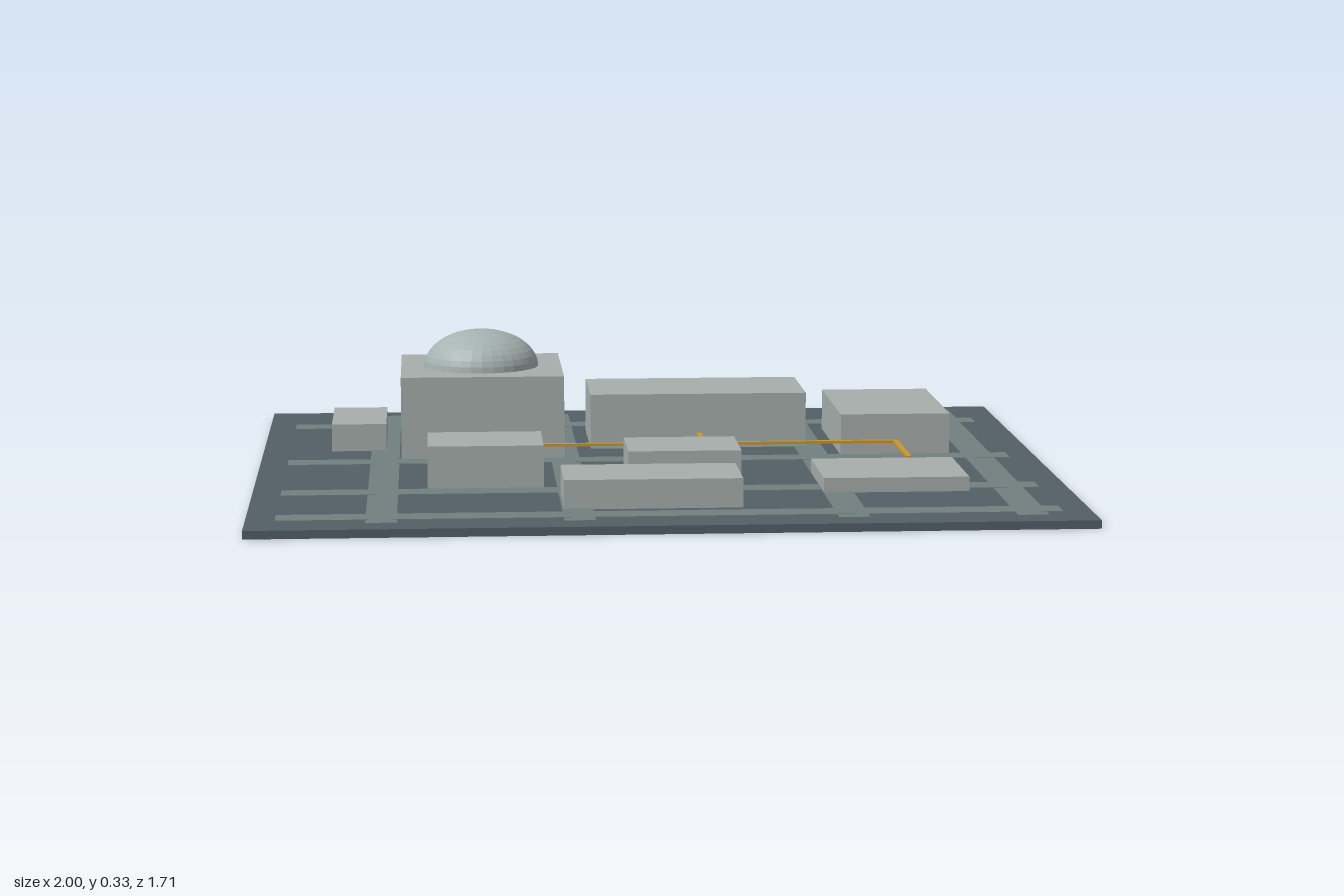
import * as THREE from 'three';

const mat = (name, color) => {
  const m = new THREE.MeshStandardMaterial({ color });
  m.name = name;
  return m;
};

export function createModel() {
  const model = new THREE.Group();
  model.name = 'industrialSite';
  const ground = mat('slate ground', 0x525e66);
  const road = mat('road grey', 0x70807f);
  const concrete = mat('pale concrete', 0xa6aeac);
  const domeMetal = mat('dome metal', 0xa6b3b1);
  domeMetal.flatShading = true;
  const amber = mat('amber pipe', 0xc8962f);

  // Box given by its extents on each axis
  const block = (name, material, x0, x1, y0, y1, z0, z1) => {
    const mesh = new THREE.Mesh(new THREE.BoxGeometry(x1 - x0, y1 - y0, z1 - z0), material);
    mesh.position.set((x0 + x1) / 2, (y0 + y1) / 2, (z0 + z1) / 2);
    mesh.name = name;
    model.add(mesh);
  };

  const top = 0.02;
  block('basePlate', ground, -1, 1, 0, top, -0.857, 0.857);

  // Road grid; the crossing roads lie a hair higher so the faces never coincide
  for (const x of [-0.682, -0.218, 0.428, 0.852])
    block('longRoad', road, x - 0.037, x + 0.037, top - 0.002, top + 0.002, -0.787, 0.787);
  for (const z of [-0.61, -0.042, 0.39, 0.712])
    block('crossRoad', road, -0.93, 0.93, top - 0.002, top + 0.0025, z - 0.036, z + 0.036);

  // Buildings: x0, x1, z0, z1, roof height
  const buildings = {
    shed: [-0.822, -0.68, -0.503, -0.22, 0.091],
    domeHall: [-0.64, -0.22, -0.503, -0.075, 0.234],
    mainHall: [-0.145, 0.422, -0.503, -0.218, 0.163],
    eastHall: [0.498, 0.782, -0.503, -0.075, 0.127],
    westWorkshop: [-0.573, -0.288, 0.14, 0.355, 0.127],
    centreWorkshop: [-0.073, 0.21, 0.033, 0.247, 0.091],
    frontStore: [-0.25, 0.178, 0.427, 0.64, 0.091],
    lowStore: [0.392, 0.75, 0.178, 0.46, 0.056],
  };
  for (const [name, [x0, x1, z0, z1, h]] of Object.entries(buildings))
    block(name, concrete, x0, x1, top, h, z0, z1);

  // Flattened dome on the tall hall
  const dome = new THREE.Mesh(
    new THREE.SphereGeometry(0.15, 32, 10, 0, Math.PI * 2, 0, Math.PI / 2), domeMetal);
  dome.scale.y = 0.64;
  dome.position.set(-0.43, 0.234, -0.288);
  dome.name = 'dome';
  model.add(dome);

  // Raised pipe run with three branches
  const w = 0.007, y0 = 0.053, y1 = 0.06, z = -0.068;
  block('pipeMain', amber, -0.43 - w, 0.64 + w, y0, y1, z - w, z + w);
  block('pipeWest', amber, -0.43 - w, -0.43 + w, y0, y1, z + w, 0.14);
  block('pipeNorth', amber, 0.14 - w, 0.14 + w, y0, y1, -0.218, z - w);
  block('pipeEast', amber, 0.64 - w, 0.64 + w, y0, y1, z + w, 0.178);

  return model;
}
